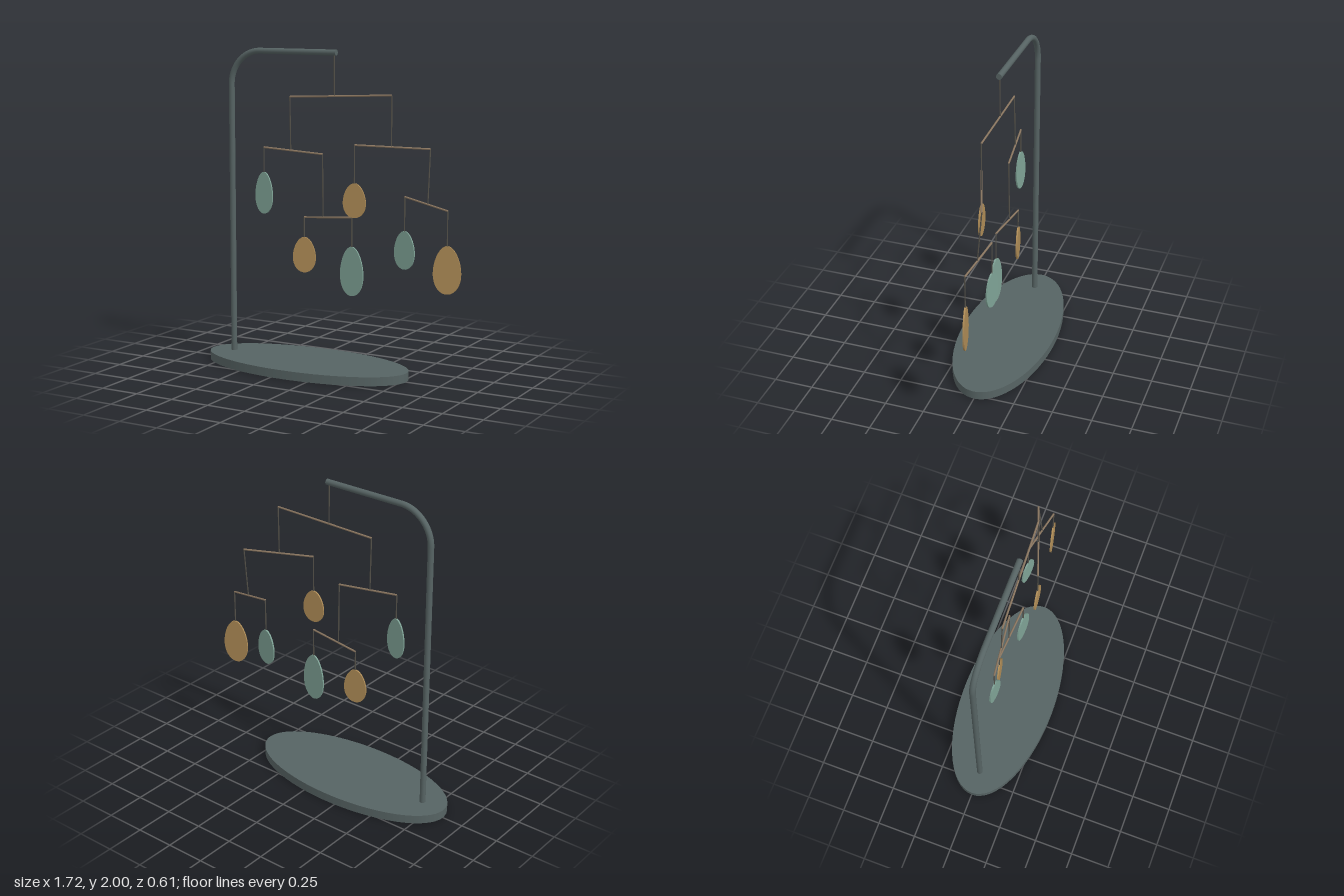
import * as THREE from 'three';

const mat = (color) => new THREE.MeshStandardMaterial({ color });
const V = (p) => new THREE.Vector3(...p);

export function createModel() {
  const model = new THREE.Group();
  const iron = mat(0x566363), brass = mat(0x8a7660), thread = mat(0x55524a);
  const teal = mat(0x7fa396), gold = mat(0xb08d57);

  const add = (name, geometry, material) => {
    const mesh = new THREE.Mesh(geometry, material);
    mesh.name = name;
    model.add(mesh);
    return mesh;
  };

  // Round rod between two points
  const rod = (name, a, b, radius, material, sides = 8) => {
    const from = V(a), to = V(b), dir = to.clone().sub(from);
    const mesh = add(name, new THREE.CylinderGeometry(radius, radius, dir.length(), sides), material);
    mesh.position.copy(from).add(to).multiplyScalar(0.5);
    mesh.quaternion.setFromUnitVectors(new THREE.Vector3(0, 1, 0), dir.normalize());
  };

  // Oval base
  const base = add('base', new THREE.CylinderGeometry(1, 1, 0.055, 64), iron);
  base.scale.set(0.695, 1, 0.305);
  base.position.set(-0.165, 0.0275, 0);

  // Stand: post, quarter bend and overhanging arm
  const r = 0.0185, bend = 0.2115, postX = -0.705, bendY = 1.77;
  const armY = bendY + bend;
  rod('post', [postX, 0.03, 0], [postX, bendY, 0], r, iron, 20);
  const elbow = add('bend', new THREE.TorusGeometry(bend, r, 20, 24, Math.PI / 2), iron);
  elbow.rotation.z = Math.PI / 2;
  elbow.position.set(postX + bend, bendY, 0);
  rod('arm', [postX + bend, armY, 0], [0.045, armY, 0], r, iron, 20);

  // Flat egg-shaped pendant hanging on a thread
  const pendant = (hook, top, bottom, halfWidth, turn, material) => {
    const half = (top - bottom) / 2, depth = 0.01;
    const outline = [];
    for (let i = 0; i < 48; i++) {
      const t = (i / 48) * Math.PI * 2;
      outline.push(new THREE.Vector2(
        -halfWidth * Math.sin(t) * (1 - 0.15 * Math.cos(t)) / 1.01, half * Math.cos(t)));
    }
    const geometry = new THREE.ExtrudeGeometry(new THREE.Shape(outline), { depth, bevelEnabled: false });
    geometry.translate(0, 0, -depth / 2);
    const mesh = add('pendant', geometry, material);
    mesh.position.set(hook[0], (top + bottom) / 2, hook[2]);
    mesh.rotation.y = turn;
    rod('pendantThread', hook, [hook[0], top - 0.004, hook[2]], 0.004, thread);
  };

  // Balance bar hung by a thread from a hook, returns nothing; pivot lies below the hook
  const bar = (hook, a, b) => {
    const pivot = V(a).lerp(V(b), (hook[0] - a[0]) / (b[0] - a[0])).toArray();
    rod('thread', hook, pivot, 0.004, thread);
    rod('balanceBar', a, b, 0.006, brass);
  };

  // Bar ends, from the top tier down
  const topL = [-0.275, 1.705, 0.012], topR = [0.41, 1.735, -0.02];
  const midLa = [-0.455, 1.385, 0.027], midLb = [-0.065, 1.357, -0.024];
  const midRa = [0.2, 1.435, 0.057], midRb = [0.63, 1.418, -0.098];
  const lowLa = [-0.205, 0.953, -0.041], lowLb = [0.145, 0.98, -0.014];
  const lowRa = [0.462, 1.12, -0.099], lowRb = [0.772, 1.063, -0.043];

  bar([0.03, armY, 0], topL, topR);
  bar(topL, midLa, midLb);
  bar(topR, midRa, midRb);
  bar(midLb, lowLa, lowLb);
  bar(midRb, lowRa, lowRb);

  pendant(midLa, 1.23, 0.967, 0.066, -0.1, teal);
  pendant(midRa, 1.204, 0.992, 0.074, 0.1, gold);
  pendant(lowLa, 0.828, 0.603, 0.075, 0.18, gold);
  pendant(lowLb, 0.8, 0.492, 0.083, -0.08, teal);
  pendant(lowRa, 0.91, 0.673, 0.074, -0.15, teal);
  pendant(lowRb, 0.853, 0.56, 0.086, 0.19, gold);

  return model;
}
